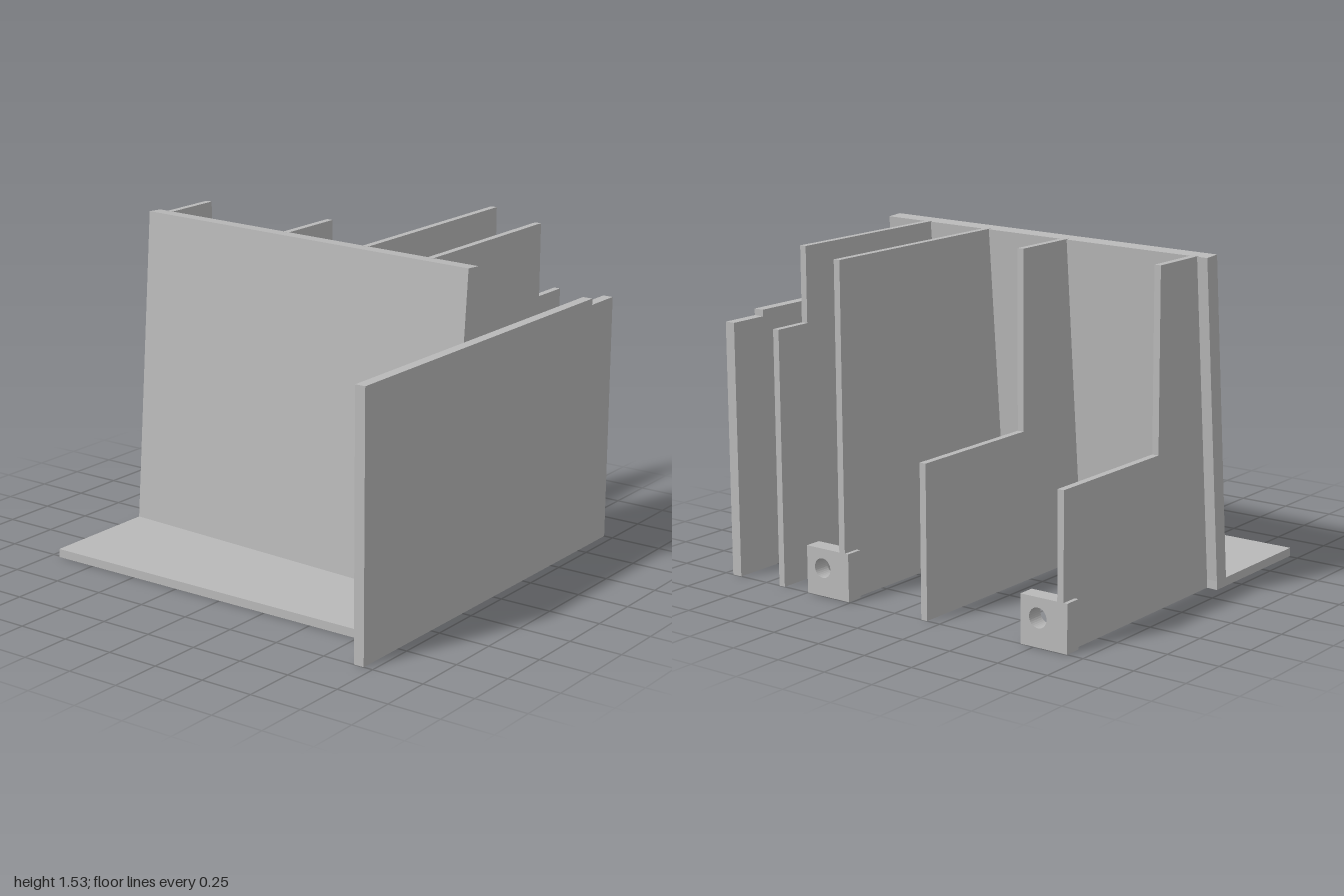
import * as THREE from 'three';

export function createModel() {
  const group = new THREE.Group();
  group.name = 'finnedBracket';
  const grey = new THREE.MeshStandardMaterial({ color: 0xb8b8b8 });
  grey.name = 'plain grey';

  const SLOPE = 0.0595; // the wall runs forward towards +x
  const add = (name, geometry) => {
    const mesh = new THREE.Mesh(geometry, grey);
    mesh.name = name;
    group.add(mesh);
  };
  const shapeOf = (points) => new THREE.Shape(points.map(([a, b]) => new THREE.Vector2(a, b)));
  const extrude = (shape, depth) =>
    new THREE.ExtrudeGeometry(shape, { depth, bevelEnabled: false, curveSegments: 16 });

  // Side profile in (z, y), extruded from x0 to x1
  const slab = (points, x0, x1) =>
    extrude(shapeOf(points), x1 - x0).rotateY(-Math.PI / 2).translate(x1, 0, 0);

  // Floor plate, its rear edge following the wall
  add('floorPlate', extrude(shapeOf([
    [-0.955, -0.76], [0.905, -0.76], [0.905, -0.22], [-0.955, -0.11],
  ]), 0.04).rotateX(-Math.PI / 2));

  // Leaning wall, sheared so that it runs at a slight angle
  const wall = slab([[0.166, 0.04], [0.243, 0.04], [0.117, 1.53], [0.038, 1.525]], -0.955, 0.905);
  const p = wall.attributes.position;
  for (let i = 0; i < p.count; i++) p.setZ(i, p.getZ(i) + SLOPE * p.getX(i));
  wall.computeVertexNormals();
  add('leaningWall', wall);

  // Long side plate with a shallow step at the back
  add('sidePlate', slab([
    [-1, 0], [1, 0], [1, 1.21], [-0.81, 1.21], [-0.81, 1.18], [-1, 1.18],
  ], 0.905, 0.955));

  // Rear fins: position, where the step is, and height behind the step
  const fins = [
    { x: -0.885, step: -0.3, low: 0.7 },
    { x: -0.165, step: -0.3, low: 0.7 },
    { x: 0.295 },
    { x: 0.655, step: -0.81, low: 1.18 },
  ];
  for (const { x, step, low } of fins) {
    const z = SLOPE * x;
    const tail = step === undefined ? [[-1, 1.527]] : [[step, 1.527], [step, low], [-1, low]];
    add('rearFin', slab([[-1, 0], [0.18 + z, 0], [0.05 + z, 1.527], ...tail], x - 0.016, x + 0.016));
  }

  // Mounting lugs with a through hole beside the fin
  for (const x of [-0.92, 0.26]) {
    const lug = shapeOf([[0, 0], [0.24, 0], [0.24, 0.22], [0, 0.22]]);
    lug.holes.push(new THREE.Path().absarc(0.15, 0.13, 0.045, 0, Math.PI * 2, true));
    add('mountingLug', extrude(lug, 0.08).translate(x, 0, -1));
  }

  return group;
}
